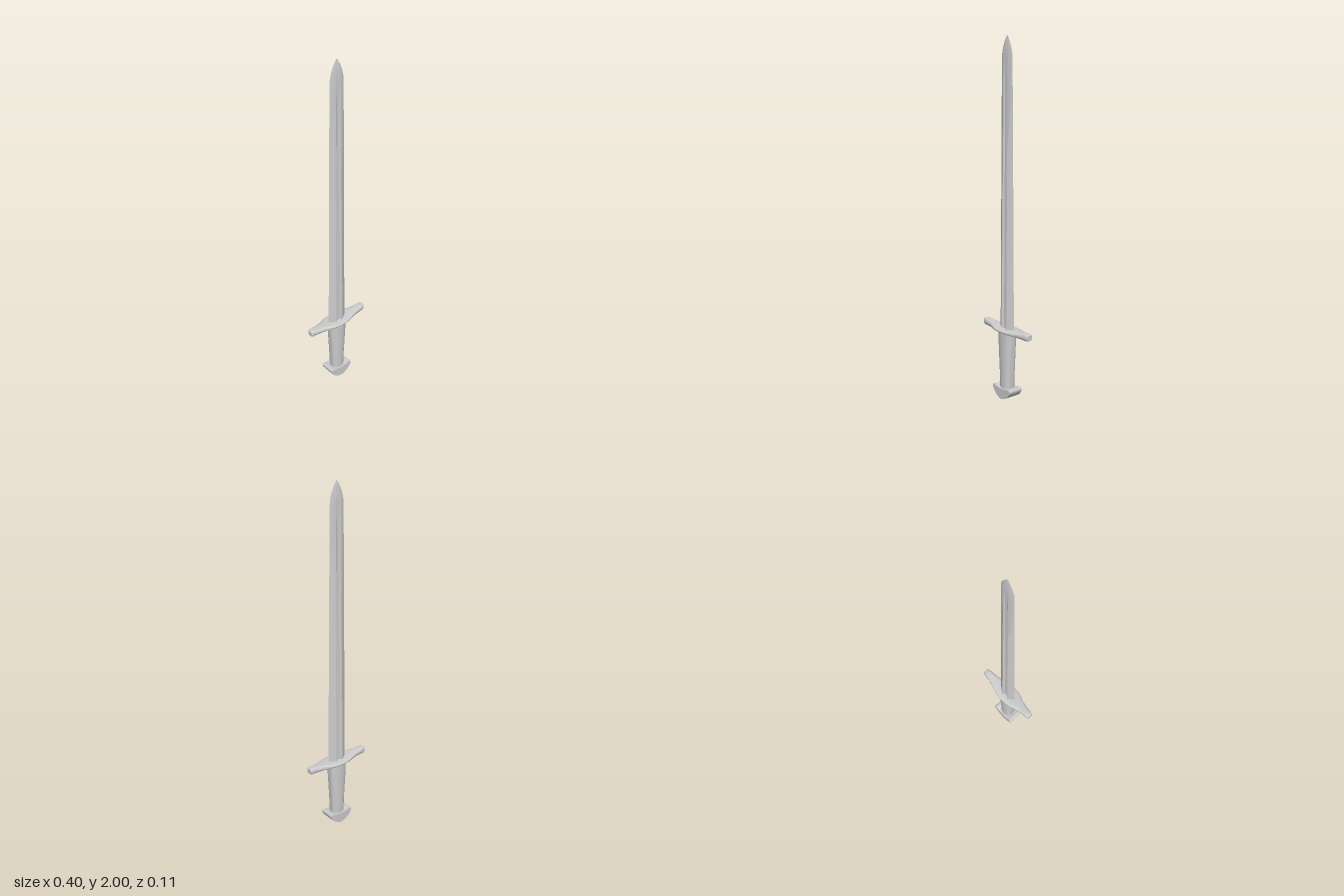
import * as THREE from 'three';
import { toCreasedNormals } from 'three/addons/utils/BufferGeometryUtils.js';

const material = new THREE.MeshStandardMaterial({ color: 0xcccccc });

// Skin a list of equal-sized rings, closing both ends with fans.
function loft(rings, crease) {
  const n = rings[0].length, last = rings.length - 1;
  const points = rings.flat(), index = [];
  for (let i = 0; i < last; i++) {
    for (let j = 0; j < n; j++) {
      const k = (j + 1) % n;
      const a = i * n + j, b = i * n + k, c = a + n, d = b + n;
      index.push(a, b, d, a, d, c);
    }
  }
  for (const i of [0, last]) {
    const centre = new THREE.Vector3();
    rings[i].forEach((p) => centre.addScaledVector(p, 1 / n));
    const m = points.push(centre) - 1;
    for (let j = 0; j < n; j++) {
      const a = i * n + j, b = i * n + (j + 1) % n;
      if (i === 0) index.push(m, b, a);
      else index.push(m, a, b);
    }
  }
  const geometry = new THREE.BufferGeometry().setFromPoints(points);
  geometry.setIndex(index);
  return toCreasedNormals(geometry, crease);
}

// Rounded outline; power 1 is an ellipse, smaller is boxier.
function oval(ru, rv, power, n = 32) {
  return Array.from({ length: n }, (_, i) => {
    const t = (i / n) * Math.PI * 2, c = Math.cos(t), s = Math.sin(t);
    return [ru * Math.sign(c) * Math.abs(c) ** power, rv * Math.sign(s) * Math.abs(s) ** power];
  });
}

function createBlade() {
  // height, half width, half thickness, groove floor
  const stations = [
    [0.39, 0.06, 0.025, 0.014], [0.6, 0.058, 0.023, 0.013], [1.0, 0.054, 0.02, 0.011],
    [1.4, 0.05, 0.016, 0.009], [1.78, 0.046, 0.0125, 0.008], [1.88, 0.0445, 0.011, 0.0095],
    [1.91, 0.042, 0.0095, 0.0095], [1.94, 0.034, 0.0075, 0.0075], [1.97, 0.021, 0.0045, 0.0045],
    [1.99, 0.009, 0.002, 0.002], [2.0, 0.0005, 0.0003, 0.0003],
  ];
  const rings = stations.map(([y, w, t, g]) => {
    const side = [[w, 0], [w * 0.4, t], [w * 0.3, t], [w * 0.18, g], [-w * 0.18, g], [-w * 0.3, t], [-w * 0.4, t]];
    const outline = [...side, ...side.map(([u, v]) => [-u, -v])];
    return outline.map(([u, v]) => new THREE.Vector3(u, y, -v));
  });
  return loft(rings, 0.45);
}

function createGuard() {
  // distance from centre, half depth, bottom, top
  const half = [
    [0, 0.056, 0.391, 0.413], [0.03, 0.0545, 0.391, 0.413], [0.06, 0.05, 0.39, 0.415],
    [0.085, 0.041, 0.389, 0.417], [0.11, 0.033, 0.388, 0.419], [0.14, 0.026, 0.387, 0.421],
    [0.17, 0.0225, 0.386, 0.424], [0.188, 0.0205, 0.386, 0.425], [0.198, 0.016, 0.39, 0.421],
  ];
  const mirrored = half.slice(1).reverse().map(([x, ...rest]) => [-x, ...rest]);
  const rings = [...mirrored, ...half].map(([x, d, low, high]) =>
    oval((high - low) / 2, d, 0.6).map(([u, v]) => new THREE.Vector3(x, (low + high) / 2 + u, v)));
  return loft(rings, 0.8);
}

function createGrip() {
  // height, half width, half depth
  const stations = [[0.055, 0.041, 0.036], [0.15, 0.045, 0.037], [0.25, 0.051, 0.039], [0.33, 0.056, 0.04], [0.4, 0.057, 0.04]];
  const rings = stations.map(([y, w, d]) =>
    oval(w, d, 0.9).map(([u, v]) => new THREE.Vector3(u, y, -v)));
  return loft(rings, 0.8);
}

function createPommel() {
  const depth = 0.09;
  const shape = new THREE.Shape();
  shape.moveTo(0, 0);
  shape.bezierCurveTo(0.03, 0.004, 0.064, 0.027, 0.073, 0.054);
  shape.quadraticCurveTo(0.077, 0.071, 0.062, 0.072);
  shape.quadraticCurveTo(0.03, 0.062, 0, 0.062);
  shape.quadraticCurveTo(-0.03, 0.062, -0.062, 0.072);
  shape.quadraticCurveTo(-0.077, 0.071, -0.073, 0.054);
  shape.bezierCurveTo(-0.064, 0.027, -0.03, 0.004, 0, 0);
  const geometry = new THREE.ExtrudeGeometry(shape, { depth, bevelEnabled: false, curveSegments: 10 });
  geometry.translate(0, 0, -depth / 2);
  return toCreasedNormals(geometry, 0.7);
}

export function createModel() {
  const group = new THREE.Group();
  group.name = 'sword';
  const parts = { blade: createBlade(), crossguard: createGuard(), grip: createGrip(), pommel: createPommel() };
  for (const [name, geometry] of Object.entries(parts)) {
    const mesh = new THREE.Mesh(geometry, material);
    mesh.name = name;
    group.add(mesh);
  }
  return group;
}
